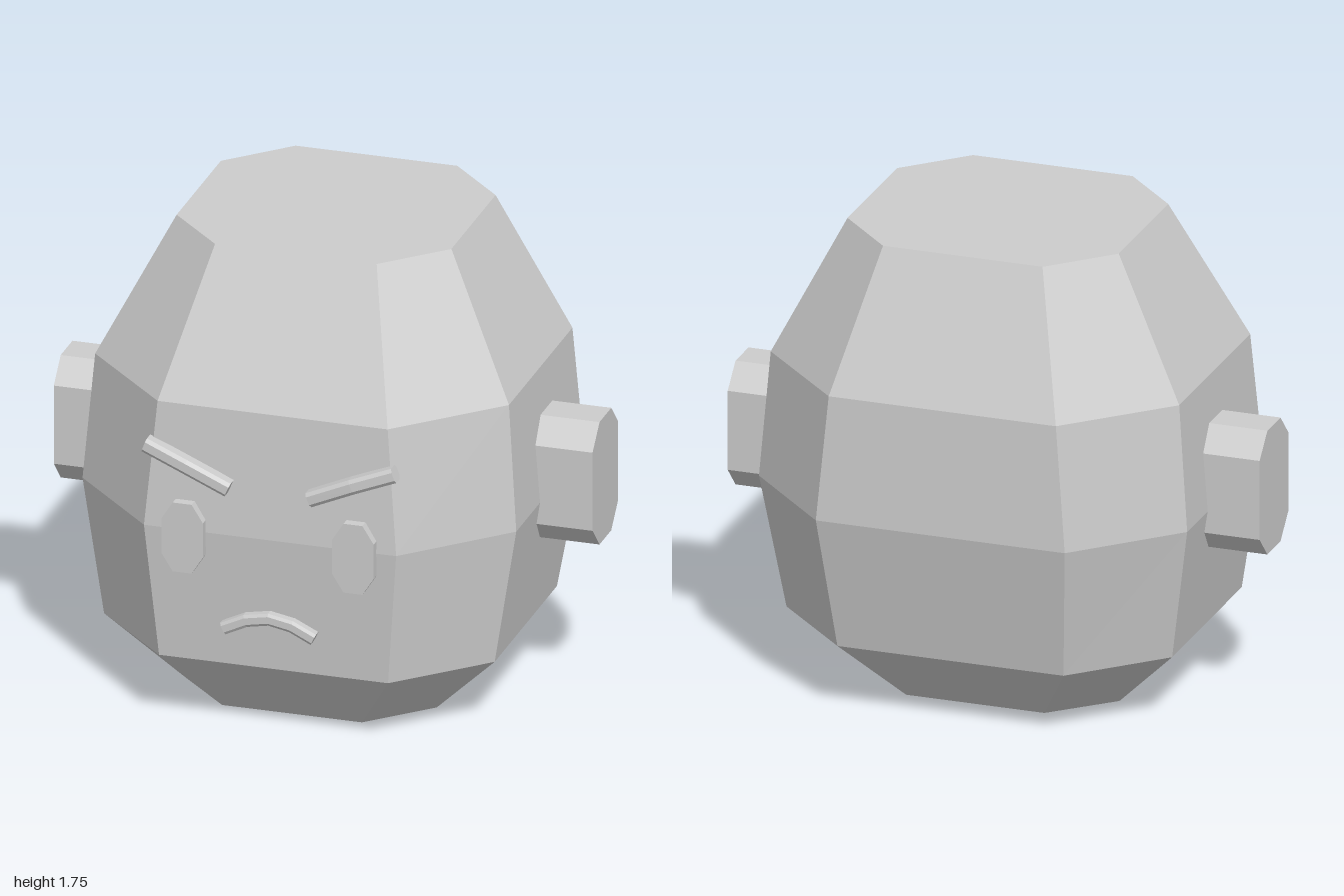
import * as THREE from 'three';

const V = (x, y, z) => new THREE.Vector3(x, y, z);

// Skin a closed solid over rings that run counter-clockwise about the path direction
function loft(rings) {
  const pos = [];
  const tri = (a, b, c) => pos.push(...a, ...b, ...c);
  const n = rings[0].length;
  for (let r = 0; r < rings.length - 1; r++) {
    const a = rings[r], b = rings[r + 1];
    for (let i = 0; i < n; i++) {
      const j = (i + 1) % n;
      tri(a[i], a[j], b[j]);
      tri(a[i], b[j], b[i]);
    }
  }
  const first = rings[0], last = rings[rings.length - 1];
  for (let i = 1; i < n - 1; i++) {
    tri(first[0], first[i + 1], first[i]);
    tri(last[0], last[i], last[i + 1]);
  }
  const geo = new THREE.BufferGeometry();
  geo.setAttribute('position', new THREE.Float32BufferAttribute(pos, 3));
  geo.computeVertexNormals();
  return geo;
}

// Chamfered rectangle: half sizes u, v and the half lengths of its straight edges
const octagon = (u, v, eu, ev) => [
  [u, -ev], [u, ev], [eu, v], [-eu, v], [-u, ev], [-u, -ev], [-eu, -v], [eu, -v],
];

// Sweep a chamfered bar along points running towards +x
function bar(points, height, depth) {
  const h = height / 2, d = depth / 2;
  const section = octagon(h, d, h * 0.55, d * 0.65);
  return loft(points.map((p, i) => {
    const t = points[Math.min(i + 1, points.length - 1)].clone()
      .sub(points[Math.max(i - 1, 0)]).setZ(0).normalize();
    return section.map(([u, v]) => V(p.x - t.y * u, p.y + t.x * u, p.z + v));
  }));
}

export function createModel() {
  const model = new THREE.Group();
  const grey = new THREE.MeshStandardMaterial({ color: 0xcccccc });
  grey.name = 'grey';
  const add = (name, geo) => {
    const mesh = new THREE.Mesh(geo, grey);
    mesh.name = name;
    model.add(mesh);
  };

  // Head: y, side x, front-face half width, front z, back z, side-face front z, side-face back z
  const levels = [
    [0, 0.47, 0.26, 0.46, -0.39, 0.25, -0.19],
    [0.258, 0.725, 0.425, 0.675, -0.648, 0.375, -0.348],
    [0.768, 0.805, 0.468, 0.716, -0.754, 0.375, -0.413],
    [1.237, 0.768, 0.427, 0.686, -0.733, 0.344, -0.393],
    [1.747, 0.51, 0.3, 0.416, -0.52, 0.205, -0.308],
  ];
  add('head', loft(levels.map(([y, xo, xi, zf, zb, sf, sb]) => [
    V(xi, y, zf), V(xo, y, sf), V(xo, y, sb), V(xi, y, zb),
    V(-xi, y, zb), V(-xo, y, sb), V(-xo, y, sf), V(-xi, y, zf),
  ])));

  const earShape = octagon(0.235, 0.149, 0.15, 0.068);
  const eyeShape = octagon(0.077, 0.132, 0.035, 0.066);
  const brow = [V(-0.463, 1.08, 0.708), V(-0.31, 1.022, 0.722), V(-0.15, 0.951, 0.72)];

  for (const [side, s] of [['left', 1], ['right', -1]]) {
    // Ears
    const xs = s > 0 ? [0.7, 1] : [-1, -0.7];
    add(side + 'Ear', loft(xs.map(x => earShape.map(([u, v]) => V(x, 0.835 + u, -0.05 + v)))));
    // Eyes
    add(side + 'Eye', loft([0.69, 0.745].map(z => eyeShape.map(([u, v]) => V(s * 0.317 + u, 0.748 + v, z)))));
    // Slanted eyebrows
    const path = s < 0 ? brow : brow.map(p => V(-p.x, p.y, p.z)).reverse();
    add(side + 'Eyebrow', bar(path, 0.056, 0.06));
  }

  // Downturned mouth
  const mouth = [[-0.168, 0.417], [-0.085, 0.457], [0, 0.473], [0.085, 0.457], [0.168, 0.417]];
  add('mouth', bar(mouth.map(([x, y]) => V(x, y, 0.725)), 0.046, 0.042));

  return model;
}
